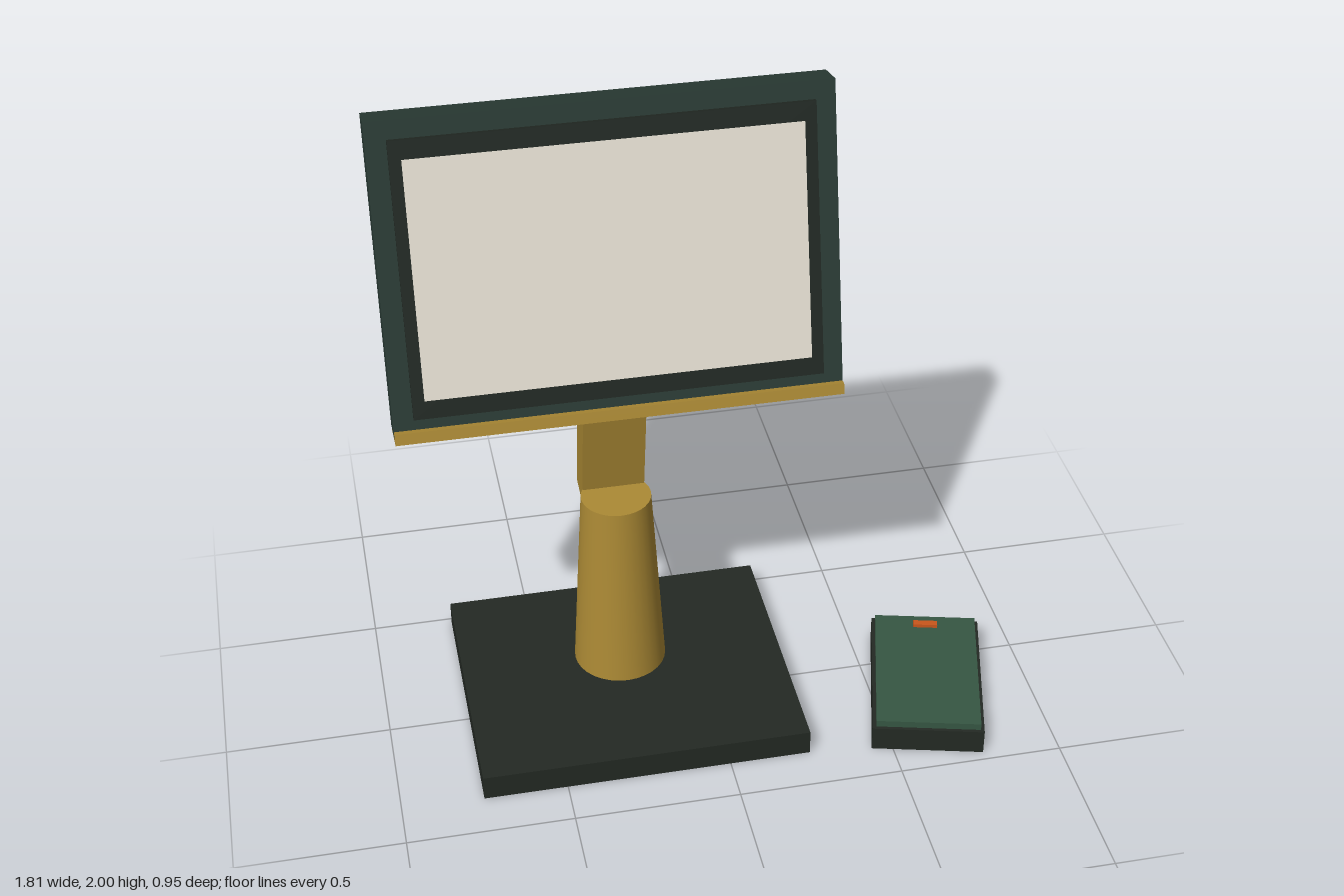
import * as THREE from 'three';

const mat = (color) => new THREE.MeshStandardMaterial({ color });
const DARK = mat(0x232923), SHELL = mat(0x293a34), BEZEL = mat(0x202722);
const BRASS = mat(0xac8a35), SCREEN = mat(0xe4dfd2), GREEN = mat(0x365643), ORANGE = mat(0xc9561c);

// Adds a named mesh at a position inside a parent
function add(parent, name, geometry, material, x, y, z) {
  const mesh = new THREE.Mesh(geometry, material);
  mesh.name = name;
  mesh.position.set(x, y, z);
  parent.add(mesh);
  return mesh;
}
const box = (w, h, d) => new THREE.BoxGeometry(w, h, d);

export function createModel() {
  const model = new THREE.Group();
  model.name = 'displayWithControlBox';
  const cx = -0.253; // centre line of the stand and display

  // Stand: slab, tapered column, leaning arm
  const stand = new THREE.Group();
  stand.name = 'stand';
  stand.position.x = cx;
  model.add(stand);
  add(stand, 'base', box(1, 0.08, 0.84), DARK, 0, 0.04, -0.058);
  add(stand, 'column', new THREE.CylinderGeometry(0.107, 0.143, 0.615, 32), BRASS, 0, 0.3875, -0.132);
  add(stand, 'arm', box(0.19, 0.5, 0.107), BRASS, 0, 0.89, -0.191).rotation.x = 0.2;

  // Display, tilted back as one unit
  const display = new THREE.Group();
  display.name = 'display';
  display.position.set(cx, 1.537, -0.132);
  display.rotation.x = -0.221;
  model.add(display);
  add(display, 'shell', box(1.308, 0.917, 0.108), SHELL, 0, 0, 0);
  add(display, 'bezel', box(1.19, 0.81, 0.03), BEZEL, 0, 0, 0.055);
  add(display, 'screen', box(1.12, 0.7, 0.02), SCREEN, 0, 0, 0.064);
  add(display, 'bottomTrim', box(1.306, 0.034, 0.13), BRASS, 0, -0.457, 0.011);

  // Control box standing beside the display, turned slightly
  const control = new THREE.Group();
  control.name = 'controlBox';
  control.position.set(0.668, 0, 0.17);
  control.rotation.y = -0.255;
  model.add(control);
  add(control, 'controlBody', box(0.34, 0.08, 0.53), DARK, 0, 0.04, 0);
  add(control, 'controlLid', box(0.318, 0.022, 0.508), GREEN, 0, 0.091, 0);
  add(control, 'button', box(0.076, 0.014, 0.022), ORANGE, 0, 0.106, -0.21);

  return model;
}
